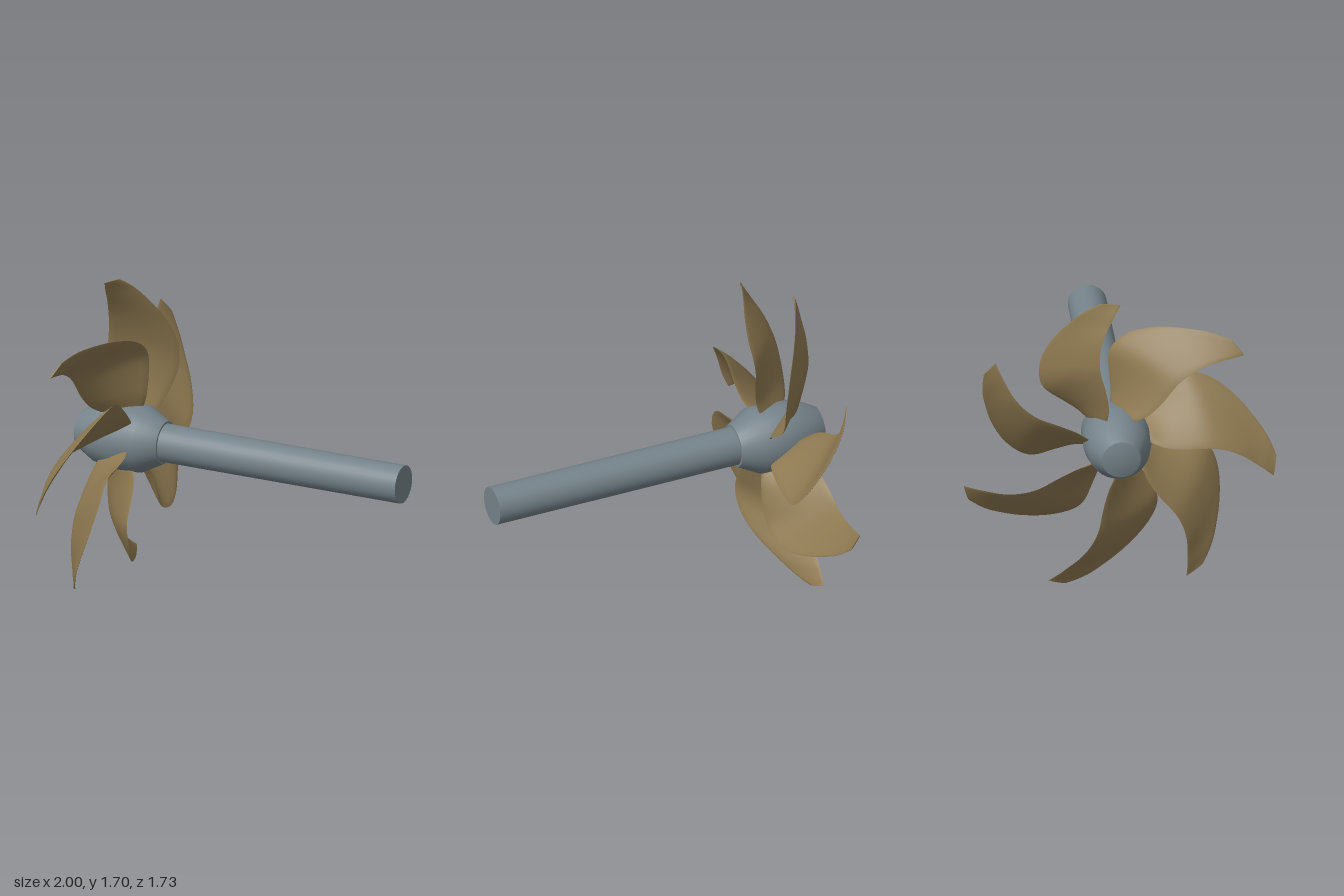
import * as THREE from 'three';
import { toCreasedNormals } from 'three/addons/utils/BufferGeometryUtils.js';

const AXIS_Y = 0.835;
const BLADES = 7;

// Blade stations: radius, then concave/convex edge angle (degrees) and concave/convex edge x
const STATIONS = [
  [0.15, 24, 61, -0.80, -0.62],
  [0.24, 13.5, 57, -0.84, -0.59],
  [0.35, 11.5, 56.5, -0.86, -0.58],
  [0.45, 12.2, 56, -0.865, -0.58],
  [0.52, 12, 52.5, -0.865, -0.58],
  [0.60, 10.3, 43.5, -0.86, -0.59],
  [0.68, 7.5, 32, -0.855, -0.635],
  [0.76, 4, 21, -0.845, -0.70],
  [0.82, 1.6, 14, -0.84, -0.745],
  [0.877, -0.6, 6.4, -0.83, -0.79],
];

// Twisted, swept blade lofted from thin lens-shaped sections
function bladeGeometry() {
  const smooth = (a, b) => new THREE.CatmullRomCurve3(
    STATIONS.map((s) => new THREE.Vector3(s[0], s[a], s[b])), false, 'catmullrom', 0.5);
  const angles = smooth(1, 2);
  const depths = smooth(3, 4);
  const rows = 27, half = 10, ring = half * 2;
  const pos = [], index = [];

  const addPoint = (r, angle, x) => pos.push(x, r * Math.cos(angle), -r * Math.sin(angle));

  for (let i = 0; i <= rows; i++) {
    const t = i / rows;
    const p = angles.getPoint(t), q = depths.getPoint(t);
    const r = p.x;
    const a0 = THREE.MathUtils.degToRad(p.y), a1 = THREE.MathUtils.degToRad(p.z);
    const along = r * (a1 - a0), rise = q.z - q.y;
    const chord = Math.hypot(along, rise);
    const thick = THREE.MathUtils.lerp(0.013, 0.004, t);
    for (let j = 0; j < ring; j++) {
      const phi = (j / half) * Math.PI;
      const s = (1 - Math.cos(phi)) / 2;
      const h = thick * Math.sin(phi);
      addPoint(r, a0 + (a1 - a0) * s - (h * rise) / chord / r, q.y + rise * s + (h * along) / chord);
    }
  }
  for (let i = 0; i < rows; i++) {
    for (let j = 0; j < ring; j++) {
      const a = i * ring + j, b = i * ring + ((j + 1) % ring);
      index.push(a, b, a + ring, b, b + ring, a + ring);
    }
  }
  // Tip cap
  const last = rows * ring;
  for (let j = 1; j < ring - 1; j++) index.push(last, last + j, last + j + 1);

  const geo = new THREE.BufferGeometry();
  geo.setAttribute('position', new THREE.Float32BufferAttribute(pos, 3));
  geo.setIndex(index);
  return toCreasedNormals(geo, 0.7);
}

export function createModel() {
  const model = new THREE.Group();
  model.name = 'propeller';
  const steel = new THREE.MeshStandardMaterial({ color: 0x75838a });
  const bronze = new THREE.MeshStandardMaterial({ color: 0x8d7850 });

  const rotor = new THREE.Group();
  rotor.name = 'rotor';
  rotor.position.y = AXIS_Y;
  model.add(rotor);

  // Drive shaft along x
  const shaft = new THREE.Mesh(new THREE.CylinderGeometry(0.107, 0.107, 1.5, 32), steel);
  shaft.name = 'shaft';
  shaft.rotation.z = -Math.PI / 2;
  shaft.position.x = 0.25;
  rotor.add(shaft);

  // Rounded hub with a blunt conical nose, turned around the shaft axis
  const profile = [[0, -1], [0.107, -0.97], [0.168, -0.86], [0.19, -0.74], [0.187, -0.585], [0.12, -0.46], [0, -0.46]]
    .map(([r, x]) => new THREE.Vector2(r, x));
  const hubGeo = toCreasedNormals(new THREE.LatheGeometry(profile, 32), 0.75);
  const hub = new THREE.Mesh(hubGeo, steel);
  hub.name = 'hub';
  hub.rotation.z = -Math.PI / 2;
  rotor.add(hub);

  // Ring of blades
  const blades = new THREE.Group();
  blades.name = 'blades';
  const geo = bladeGeometry();
  for (let i = 0; i < BLADES; i++) {
    const blade = new THREE.Mesh(geo, bronze);
    blade.name = `blade${i + 1}`;
    blade.rotation.x = (i / BLADES) * Math.PI * 2;
    blades.add(blade);
  }
  rotor.add(blades);

  return model;
}
